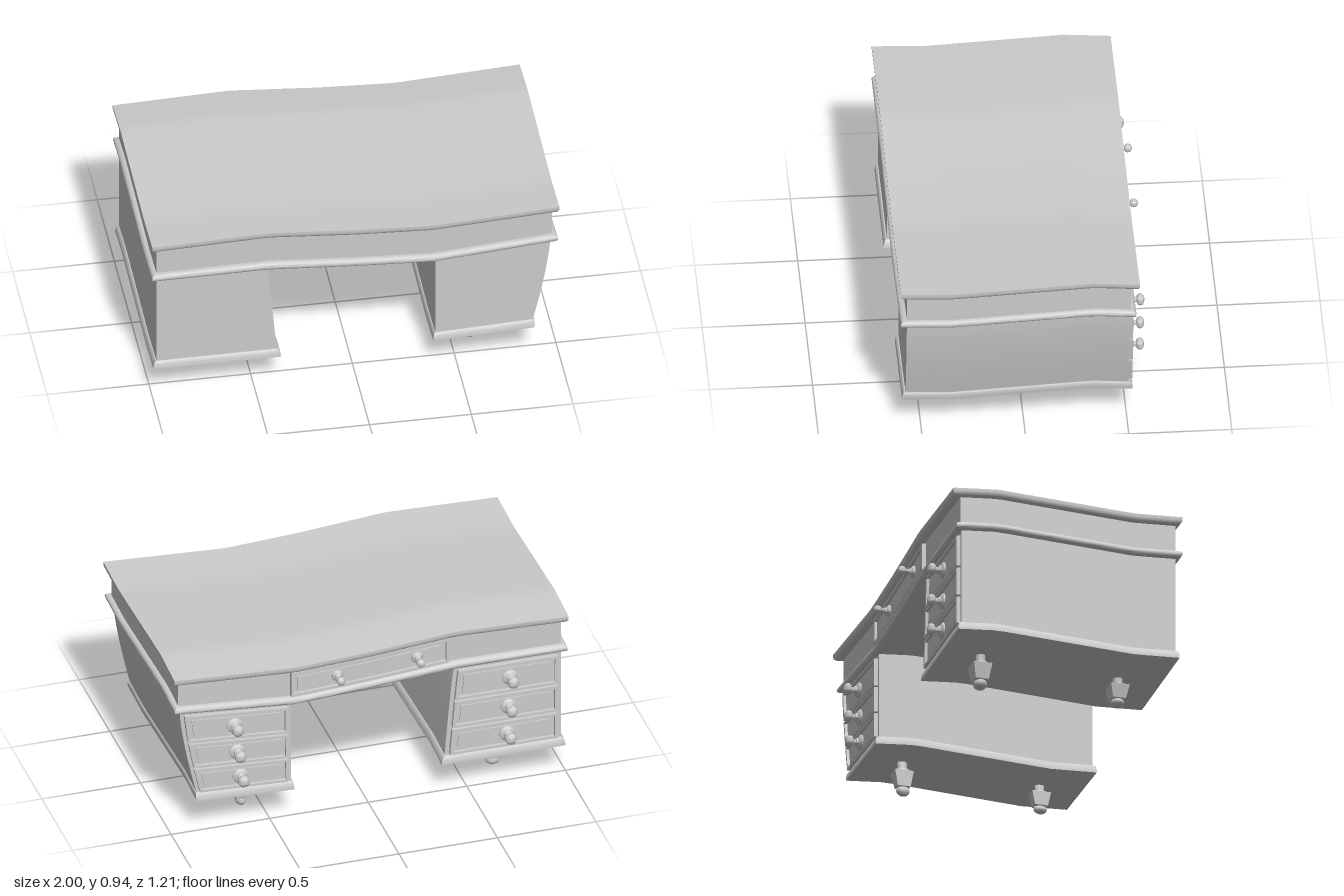
import * as THREE from 'three';
import { toCreasedNormals } from 'three/addons/utils/BufferGeometryUtils.js';

const material = new THREE.MeshStandardMaterial({ color: 0xcccccc });

// Piecewise linear curve through [position, value] points
function along(points, p) {
  for (let i = 1; i < points.length; i++) {
    const [a, va] = points[i - 1], [b, vb] = points[i];
    if (p <= b || i === points.length - 1) return va + (vb - va) * (p - a) / (b - a);
  }
}

const waveTop = [[-1, 0], [-0.43, 0.018], [0, -0.018], [0.38, -0.038], [1, -0.003]];
const waveMiddle = [[-1, 0], [-0.43, 0.003], [0, -0.03], [0.38, -0.052], [1, 0]];
const waveBase = [[-1, 0], [-0.4, 0], [0.39, 0], [1, 0.022]];
const waveDepth = [[-0.56, 0], [-0.33, 0.02], [0.36, -0.013], [0.61, 0]];

// The crooked shape of the whole desk: wavy in height, pedestals leaning
function warp(v) {
  const { x, y, z } = v;
  const lean = Math.max(0, (0.7 - y) / 0.5);
  if (y < 0.7) {
    if (x > 0.38) v.x -= (x - 0.395) / 0.565 * 0.085 * Math.pow(lean, 1.4);
    else if (x < -0.37) v.x += (x + 0.975) / 0.54 * 0.05 * Math.pow(lean, 0.8);
  }
  let wave;
  if (y > 0.7) {
    const t = Math.min(1, (y - 0.7) / 0.17);
    wave = THREE.MathUtils.lerp(along(waveMiddle, x), along(waveTop, x), t);
  } else {
    wave = THREE.MathUtils.lerp(along(waveMiddle, x), along(waveBase, x), Math.min(1, lean));
  }
  v.y += (wave + along(waveDepth, z)) * Math.min(1, y / 0.155);
  return v;
}

function warped(geometry, name, crease = 0.7) {
  const pos = geometry.attributes.position, v = new THREE.Vector3();
  for (let i = 0; i < pos.count; i++) {
    warp(v.fromBufferAttribute(pos, i));
    pos.setXYZ(i, v.x, v.y, v.z);
  }
  geometry.computeVertexNormals();
  const mesh = new THREE.Mesh(toCreasedNormals(geometry, crease), material);
  mesh.name = name;
  return mesh;
}

// Rectangular block whose sides follow a profile of [outward, y], top to bottom
function block(name, x0, x1, z0, z1, profile) {
  const w = x1 - x0, d = z1 - z0, rows = profile.length - 1;
  const geo = new THREE.BoxGeometry(w, 1, d, Math.ceil(w / 0.06), rows, Math.ceil(d / 0.06));
  const pos = geo.attributes.position;
  for (let i = 0; i < pos.count; i++) {
    const [out, y] = profile[Math.round((0.5 - pos.getY(i)) * rows)];
    pos.setXYZ(i,
      (x0 + x1) / 2 + pos.getX(i) * (1 + 2 * out / w), y,
      (z0 + z1) / 2 + pos.getZ(i) * (1 + 2 * out / d));
  }
  return warped(geo, name);
}

const straight = (top, bottom, rows) =>
  Array.from({ length: rows + 1 }, (_, i) => [0, top + (bottom - top) * i / rows]);

// Half-round edge profile bulging outward
const halfRound = (top, bottom, bulge) =>
  Array.from({ length: 9 }, (_, i) => {
    const a = Math.PI * i / 8;
    return [bulge * Math.sin(a), (top + bottom) / 2 + (top - bottom) / 2 * Math.cos(a)];
  });

function lathe(points) {
  return new THREE.LatheGeometry(points.map(([r, y]) => new THREE.Vector2(r, y)), 20);
}

// Turned knob with a rosette, pointing backwards
function knob(x, y, z, s) {
  const geo = lathe([[0, 0], [0.04, 0], [0.04, 0.008], [0.03, 0.016], [0.022, 0.018], [0.02, 0.028], [0.013, 0.032],
    [0.013, 0.042], [0.024, 0.047], [0.03, 0.058], [0.028, 0.07], [0.017, 0.079], [0, 0.082]]);
  geo.scale(s, 1, s).rotateX(-Math.PI / 2);
  const mesh = new THREE.Mesh(toCreasedNormals(geo, 0.8), material);
  mesh.name = 'knob';
  mesh.position.copy(warp(new THREE.Vector3(x, y, z)));
  return mesh;
}

// Drawer front: panel, raised border and knobs
function drawer(name, x0, x1, y0, y1, z, knobs, knobSize) {
  const g = new THREE.Group(), b = 0.014;
  g.name = name;
  const add = (part, ax, bx, ay, by, depth) =>
    g.add(block(part, ax, bx, z - depth, z + 0.005, straight(by, ay, 4)));
  add('drawerPanel', x0 + b, x1 - b, y0 + b, y1 - b, 0.006);
  add('raisedField', x0 + 0.035, x1 - 0.035, y0 + 0.03, y1 - 0.03, 0.012);
  add('borderTop', x0, x1, y1 - b, y1, 0.02);
  add('borderBottom', x0, x1, y0, y0 + b, 0.02);
  add('borderSide', x0, x0 + b, y0 + b, y1 - b, 0.02);
  add('borderSide', x1 - b, x1, y0 + b, y1 - b, 0.02);
  for (const x of knobs) g.add(knob(x, (y0 + y1) / 2, z - 0.01, knobSize));
  return g;
}

// Foot: turned neck and collar, tapered square block, round pad
function foot(x, z) {
  const g = new THREE.Group();
  g.name = 'foot';
  const neck = lathe([[0.024, 0.17], [0.024, 0.125], [0.038, 0.12], [0.04, 0.108], [0, 0.108]].reverse());
  const square = new THREE.CylinderGeometry(0.047 * Math.SQRT2, 0.033 * Math.SQRT2, 0.072, 4, 1);
  square.rotateY(Math.PI / 4).translate(0, 0.074, 0);
  const pad = lathe([[0, 0], [0.018, 0.001], [0.03, 0.01], [0.034, 0.022], [0.03, 0.034], [0, 0.042]]);
  for (const [geo, name, crease] of [[neck, 'footNeck', 0.7], [square, 'footBlock', 0.4], [pad, 'footPad', 0.9]])
    g.add(warped(geo.translate(x, 0, z), name, crease));
  return g;
}

export function createModel() {
  const model = new THREE.Group();
  model.name = 'desk';

  // Desk top with a rounded edge underneath
  model.add(block('deskTop', -1, 1, -0.555, 0.605,
    [[0, 0.905], [0, 0.892], [-0.002, 0.882], [-0.008, 0.873], [-0.018, 0.867], [-0.03, 0.865]]));

  // Upper carcass and the moulding around it
  model.add(block('apron', -0.975, 0.968, -0.513, 0.575, straight(0.868, 0.692, 4)));
  model.add(block('middleMoulding', -0.978, 0.97, -0.516, 0.583, halfRound(0.73, 0.69, 0.023)));

  // Wide drawer over the kneehole
  model.add(drawer('centreDrawer', -0.4, 0.4, 0.735, 0.86, -0.513, [-0.24, 0.165], 0.72));

  // Pedestals with base moulding, drawers and feet
  for (const [name, x0, x1, knobX, footX] of [
    ['rightPedestal', -0.975, -0.435, -0.72, -0.715],
    ['leftPedestal', 0.395, 0.96, 0.69, 0.655]]) {
    const g = new THREE.Group();
    g.name = name;
    g.add(block('pedestalBody', x0, x1, -0.507, 0.575, straight(0.7, 0.18, 10)));
    g.add(block('baseMoulding', x0 - 0.003, x1 + 0.003, -0.515, 0.58,
      [[0, 0.198], [0.008, 0.19], [0.01, 0.178], [0.012, 0.172], [0.012, 0.156]]));
    for (const [y0, y1] of [[0.205, 0.345], [0.355, 0.5], [0.51, 0.67]])
      g.add(drawer('pedestalDrawer', x0 + 0.02, x1 - 0.02, y0, y1, -0.507, [knobX], 1));
    for (const z of [0.37, -0.325]) g.add(foot(footX, z));
    model.add(g);
  }
  return model;
}
